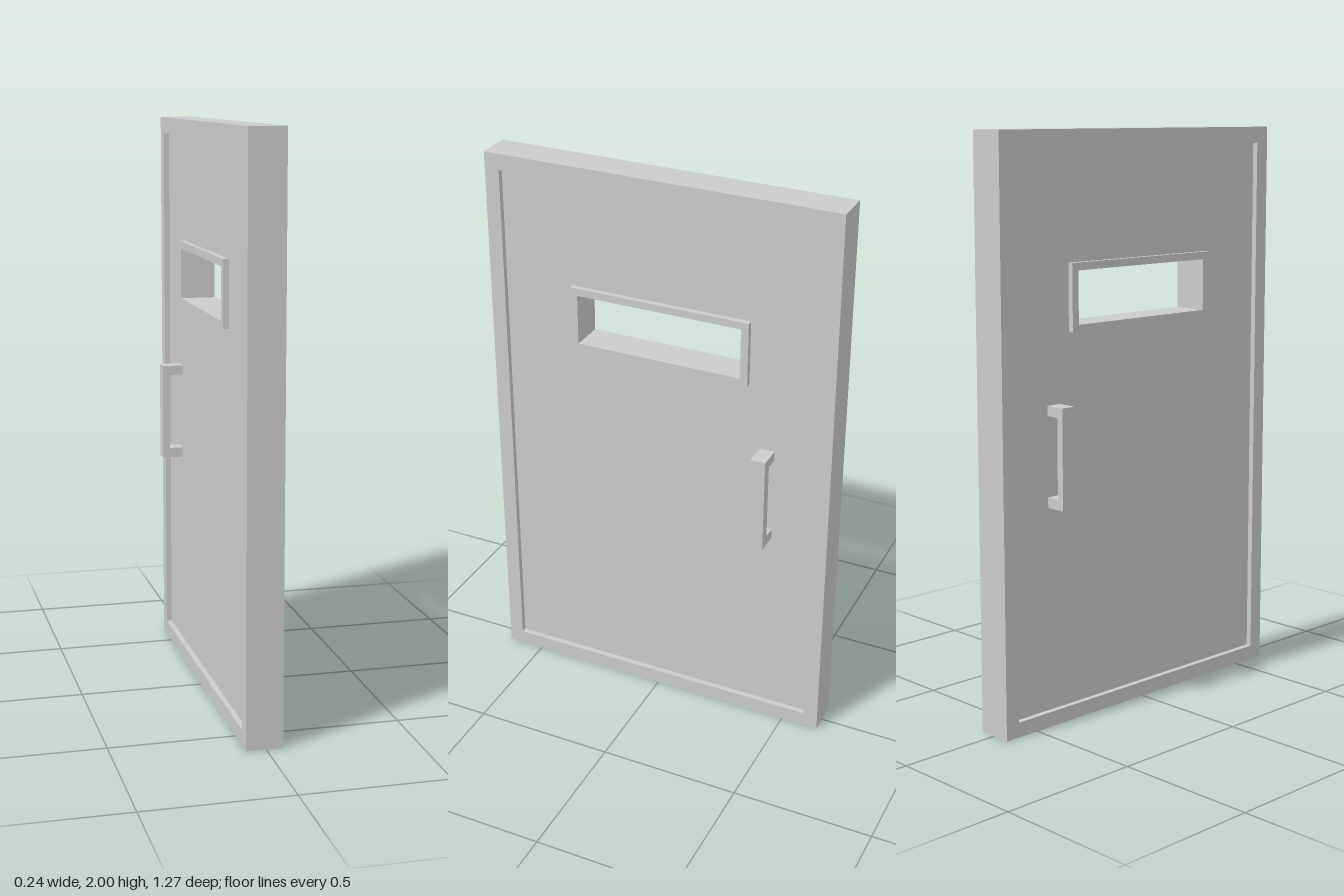
import * as THREE from 'three';

const material = new THREE.MeshStandardMaterial({ color: 0xcccccc, flatShading: true });
const MID = -0.005; // centre plane of the door's thickness

// Rectangle [u0, v0, u1, v1], where u runs towards -z and v runs up
const corners = ([u0, v0, u1, v1]) => [[u0, v0], [u1, v0], [u1, v1], [u0, v1]].map(p => new THREE.Vector2(...p));

// Rectangular plate with an opening, spanning x0 to x1
function plate(name, outer, opening, x0, x1) {
  const shape = new THREE.Shape(corners(outer));
  shape.holes.push(new THREE.Path(corners(opening).reverse()));
  const geometry = new THREE.ExtrudeGeometry(shape, { depth: x1 - x0, bevelEnabled: false });
  geometry.rotateY(Math.PI / 2).translate(x0, 0, 0);
  const mesh = new THREE.Mesh(geometry, material);
  mesh.name = name;
  return mesh;
}

// Square-section pull handle: a C profile extruded along z
function handle(name, side) {
  const root = MID + side * 0.04, inner = MID + side * 0.091, outer = side * 0.121;
  const profile = [[root, 0.757], [outer, 0.757], [outer, 1.102], [root, 1.102],
    [root, 1.068], [inner, 1.068], [inner, 0.793], [root, 0.793]];
  const shape = new THREE.Shape(profile.map(p => new THREE.Vector2(...p)));
  const geometry = new THREE.ExtrudeGeometry(shape, { depth: 0.054, bevelEnabled: false });
  geometry.translate(0, 0, -0.425);
  const mesh = new THREE.Mesh(geometry, material);
  mesh.name = name;
  return mesh;
}

export function createModel() {
  const door = new THREE.Group();
  door.name = 'door';

  const half = 0.0625, panelHalf = 0.043;
  const leaf = [-0.582, 0.052, 0.582, 1.943];
  const trim = [-0.327, 1.338, 0.327, 1.567];
  const opening = [-0.3, 1.361, 0.3, 1.541];

  // Border and recessed leaf with a window slot
  door.add(plate('frame', [-0.635, 0, 0.635, 2], leaf, MID - half, MID + half));
  door.add(plate('panel', leaf, opening, MID - panelHalf, MID + panelHalf));

  // Window trim and pull handle on both faces
  for (const [label, side] of [['left', 1], ['right', -1]]) {
    const a = MID + side * panelHalf, b = MID + side * half;
    door.add(plate(label + 'WindowTrim', trim, opening, Math.min(a, b), Math.max(a, b)));
    door.add(handle(label + 'Handle', side));
  }
  return door;
}
